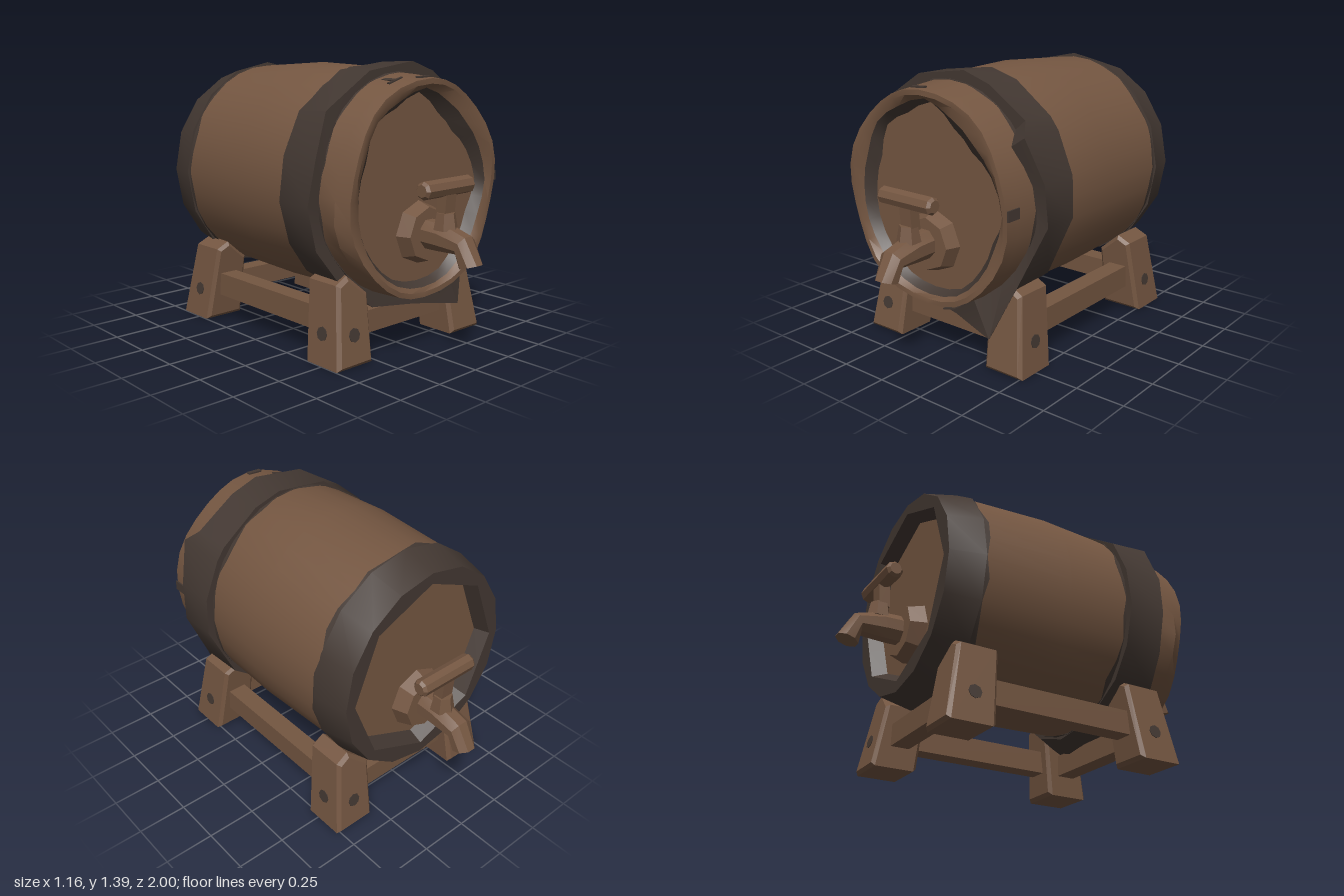
import * as THREE from 'three';
import { toCreasedNormals } from 'three/addons/utils/BufferGeometryUtils.js';

const wood = new THREE.MeshStandardMaterial({ color: 0x745641 });
wood.name = 'oak wood';
const iron = new THREE.MeshStandardMaterial({ color: 0x433832 });
iron.name = 'dark iron';

const CY = 0.81; // height of the barrel axis

// Skin a list of equal-length rings, optionally closing the ends
function loft(rings, capStart = false, capEnd = false, crease = 0.6) {
  const n = rings[0].length, pos = [];
  const tri = (...pts) => pts.forEach((p) => pos.push(p.x, p.y, p.z));
  for (let i = 0; i < rings.length - 1; i++) {
    for (let j = 0; j < n; j++) {
      const k = (j + 1) % n;
      const a = rings[i][j], b = rings[i][k], c = rings[i + 1][k], d = rings[i + 1][j];
      tri(a, b, c);
      tri(a, c, d);
    }
  }
  const cap = (ring, end) => {
    const m = ring.reduce((s, p) => s.add(p), new THREE.Vector3()).divideScalar(n);
    for (let j = 0; j < n; j++) {
      const k = (j + 1) % n;
      if (end) tri(m, ring[j], ring[k]);
      else tri(m, ring[k], ring[j]);
    }
  };
  if (capStart) cap(rings[0], false);
  if (capEnd) cap(rings[rings.length - 1], true);
  const g = new THREE.BufferGeometry();
  g.setAttribute('position', new THREE.Float32BufferAttribute(pos, 3));
  return toCreasedNormals(g, crease);
}

// Slightly oval ring around the sagging barrel axis; radius and z may depend on the turn t in 0..1
const at = (v, t) => (typeof v === 'function' ? v(t) : v);
function ring(n, r, z) {
  return Array.from({ length: n }, (_, i) => {
    const t = i / n, a = t * Math.PI * 2, rad = at(r, t), pz = at(z, t);
    return new THREE.Vector3(Math.cos(a) * rad, CY - 0.03 * pz * pz + Math.sin(a) * rad * 1.04, pz);
  });
}

function add(parent, name, geometry, material) {
  const m = new THREE.Mesh(geometry, material);
  m.name = name;
  parent.add(m);
  return m;
}

function makeBarrel() {
  const g = new THREE.Group();
  g.name = 'barrel';
  const N = 32;
  const rimZ = (t) => 0.693 + 0.012 * Math.sin(t * Math.PI * 10);

  // Bulging staves, with one sprung stave on the model's right
  const sprung = (t) => 0.508 + 0.035 * Math.exp(-(((t - 0.54) / 0.05) ** 2));
  const profile = [[-0.52, 0.525], [-0.04, 0.545], [0.3, 0.535], [0.5, 0.515], [0.62, sprung]];
  const staves = profile.map(([z, r]) => ring(N, r, z));
  staves.push(ring(N, 0.502, rimZ));

  // Irregular front head, its dark surround and the sloping rim
  const radii = [0.43, 0.386, 0.344, 0.361, 0.435, 0.4, 0.42, 0.372,
    0.388, 0.41, 0.42, 0.435, 0.435, 0.44, 0.41, 0.392];
  const headR = (t) => {
    const f = t * 16, i = Math.floor(f);
    return THREE.MathUtils.lerp(radii[i % 16], radii[(i + 1) % 16], f - i);
  };
  const seam = ring(N, (t) => headR(t) * 0.5 + 0.24, 0.67);
  const head = ring(N, headR, 0.625);
  staves.push(ring(N, 0.478, rimZ), seam);
  add(g, 'staves', loft(staves), wood);
  add(g, 'frontHeadSurround', loft([seam, head]), iron);
  add(g, 'frontHead', loft([head], false, true), wood);

  // Octagonal recessed back head inside the back hoop
  const oct = (r) => (t) => r * (Math.round(t * 16) % 2 ? 0.924 : 1);
  const backHead = ring(16, oct(0.42), -0.61);
  add(g, 'backHead', loft([backHead], true), wood);
  add(g, 'backHoop', loft([backHead, ring(16, oct(0.45), -0.685), ring(16, 0.503, -0.685),
    ring(16, 0.543, -0.51), ring(16, 0.51, -0.505)]), iron);

  // Battered front hoop: outline points with the z of the front edge
  const outline = [[0.58, 0.73, 0.5], [0.57, 0.93, 0.515], [0.5, 1.14, 0.57], [0.45, 1.2, 0.5],
    [0.24, 1.34, 0.5], [0.09, 1.39, 0.5], [-0.2, 1.35, 0.5], [-0.47, 1.18, 0.5],
    [-0.55, 0.97, 0.52], [-0.58, 0.76, 0.5], [-0.53, 0.55, 0.5], [-0.42, 0.4, 0.52],
    [-0.2, 0.23, 0.53], [0.07, 0.2, 0.56], [0.33, 0.16, 0.62], [0.44, 0.42, 0.55]];
  const hoopRing = (maxR, z) => outline.map(([x, y, zf]) => {
    const d = new THREE.Vector2(x, y - CY).clampLength(0, maxR);
    return new THREE.Vector3(d.x, CY + d.y, z ?? zf);
  });
  add(g, 'frontHoop', loft([hoopRing(0.53, 0.3), hoopRing(0.58, 0.3),
    hoopRing(1), hoopRing(0.5)]), iron);

  // Ragged stains along the hoop edges
  const stain = (name, z0, r0, z1, r1) => {
    const wobble = (t) => {
      const i = Math.round(t * N);
      return z0 + (z1 - z0) * (0.55 + 0.3 * Math.sin(i * 2.3) + 0.15 * Math.sin(i * 5.1));
    };
    const a = ring(N, r0 + 0.004, z0), b = ring(N, r1 + 0.004, wobble);
    add(g, name, loft(z1 > z0 ? [a, b] : [b, a]), iron);
  };
  stain('midStainFront', 0.31, 0.536, 0.265, 0.538);
  stain('midStainBack', -0.515, 0.526, -0.47, 0.528);
  stain('frontStain', 0.49, 0.517, 0.53, 0.516);

  // Drips and rim spots: angle in degrees, z, width, length
  for (const [deg, z, w, l] of [[106, 0.56, 0.025, 0.09], [106, 0.603, 0.09, 0.015],
    [2, 0.655, 0.05, 0.08], [286, 0.66, 0.07, 0.06], [93, 0.675, 0.08, 0.025]]) {
    const a = THREE.MathUtils.degToRad(deg);
    const spot = add(g, 'stainSpot', new THREE.BoxGeometry(w, 0.008, l), iron);
    spot.position.set(Math.cos(a) * 0.508, CY - 0.03 * z * z + Math.sin(a) * 0.508 * 1.04, z);
    spot.rotation.z = a - Math.PI / 2;
  }
  return g;
}

function makeTap(name) {
  const g = new THREE.Group();
  g.name = name;

  // Octagonal mounting plate
  const plate = new THREE.CylinderGeometry(0.13, 0.157, 0.08, 8).toNonIndexed();
  plate.rotateX(Math.PI / 2);
  plate.computeVertexNormals();
  add(g, 'tapPlate', plate, wood).position.set(0.01, 0.585, 0.655);

  // Bent spout: top z/y, bottom z/y and half width of each section
  const stations = [[0.62, 0.66, 0.62, 0.52, 0.06], [0.8, 0.65, 0.76, 0.52, 0.062],
    [0.93, 0.61, 0.89, 0.525, 0.062], [1.0, 0.49, 0.9, 0.46, 0.052]];
  const rings = stations.map(([zt, yt, zb, yb, w]) => Array.from({ length: 8 }, (_, i) => {
    const a = ((i + 0.5) / 8) * Math.PI * 2, s = Math.sin(a) / 0.924 / 2;
    return new THREE.Vector3(0.008 + (Math.cos(a) * w) / 0.924,
      (yt + yb) / 2 + s * (yt - yb), (zt + zb) / 2 + s * (zt - zb));
  }));
  add(g, 'spout', loft(rings, false, true, 0.5), wood);

  // Valve collar, leaning stem and cross handle with chamfered ends
  const collar = new THREE.CylinderGeometry(0.045, 0.06, 0.08, 6);
  add(g, 'valveCollar', toCreasedNormals(collar, 0.4), wood).position.set(0.005, 0.665, 0.8);
  const stem = add(g, 'valveStem', new THREE.BoxGeometry(0.07, 0.14, 0.055), wood);
  stem.position.set(0.01, 0.75, 0.795);
  stem.rotation.x = 0.08;
  const profile = [[0, -0.17], [0.03, -0.17], [0.043, -0.155], [0.043, 0.155], [0.03, 0.17], [0, 0.17]];
  const bar = new THREE.LatheGeometry(profile.map(([r, y]) => new THREE.Vector2(r, y)), 8);
  bar.rotateZ(Math.PI / 2);
  add(g, 'valveHandle', toCreasedNormals(bar, 0.6), wood).position.set(0.005, 0.823, 0.798);
  return g;
}

function makeStand() {
  const g = new THREE.Group();
  g.name = 'stand';
  const B = 0.018; // bevel
  const section = [[0.507, 0], [0.455, 0.385], [0.385, 0.42], [0.27, 0.32], [0.285, 0]];
  const nail = (x, y, z, normal) => {
    const m = add(g, 'nailHead', new THREE.CylinderGeometry(0.034, 0.034, 0.006, 8), iron);
    m.position.set(x, y, z);
    m.quaternion.setFromUnitVectors(new THREE.Vector3(0, 1, 0), normal.normalize());
  };
  for (const sz of [1, -1]) {
    const base = sz > 0 ? 0.5 : 0.54;
    for (const sx of [1, -1]) {
      // Splayed leg, leaning towards the middle and narrowing upwards
      const shape = new THREE.Shape(section.map(([x, y]) => new THREE.Vector2(x * sx, y)));
      const geo = new THREE.ExtrudeGeometry(shape, { depth: 0.24 - 2 * B, bevelThickness: B,
        bevelSize: B, bevelOffset: -B, bevelSegments: 1 });
      geo.translate(0, 0, B - 0.12);
      const p = geo.attributes.position;
      for (let i = 0; i < p.count; i++) {
        const y = p.getY(i);
        p.setZ(i, p.getZ(i) * (1 - 0.3 * y) + sz * (base - 0.135 * y));
      }
      geo.computeVertexNormals();
      add(g, 'leg', geo, wood);
      nail(sx * 0.487, 0.15, sz * (base - 0.02), new THREE.Vector3(sx, 0.135, 0));
      if (sx * sz < 0) {
        nail(sx * 0.39, 0.15, sz * (base + 0.0945), new THREE.Vector3(0, 0.17, sz));
      }
    }
    add(g, 'crossRail', new THREE.BoxGeometry(0.6, 0.112, 0.1), wood)
      .position.set(0, 0.165, sz * (base - 0.02));
  }
  for (const sx of [1, -1]) {
    add(g, 'sideRail', new THREE.BoxGeometry(0.1, 0.12, 0.86), wood).position.set(sx * 0.385, 0.19, -0.02);
  }
  g.position.x = 0.01;
  return g;
}

export function createModel() {
  const model = new THREE.Group();
  model.name = 'tappedBarrel';
  const backTap = makeTap('backTap');
  backTap.rotation.y = Math.PI;
  model.add(makeBarrel(), makeStand(), makeTap('frontTap'), backTap);
  return model;
}
